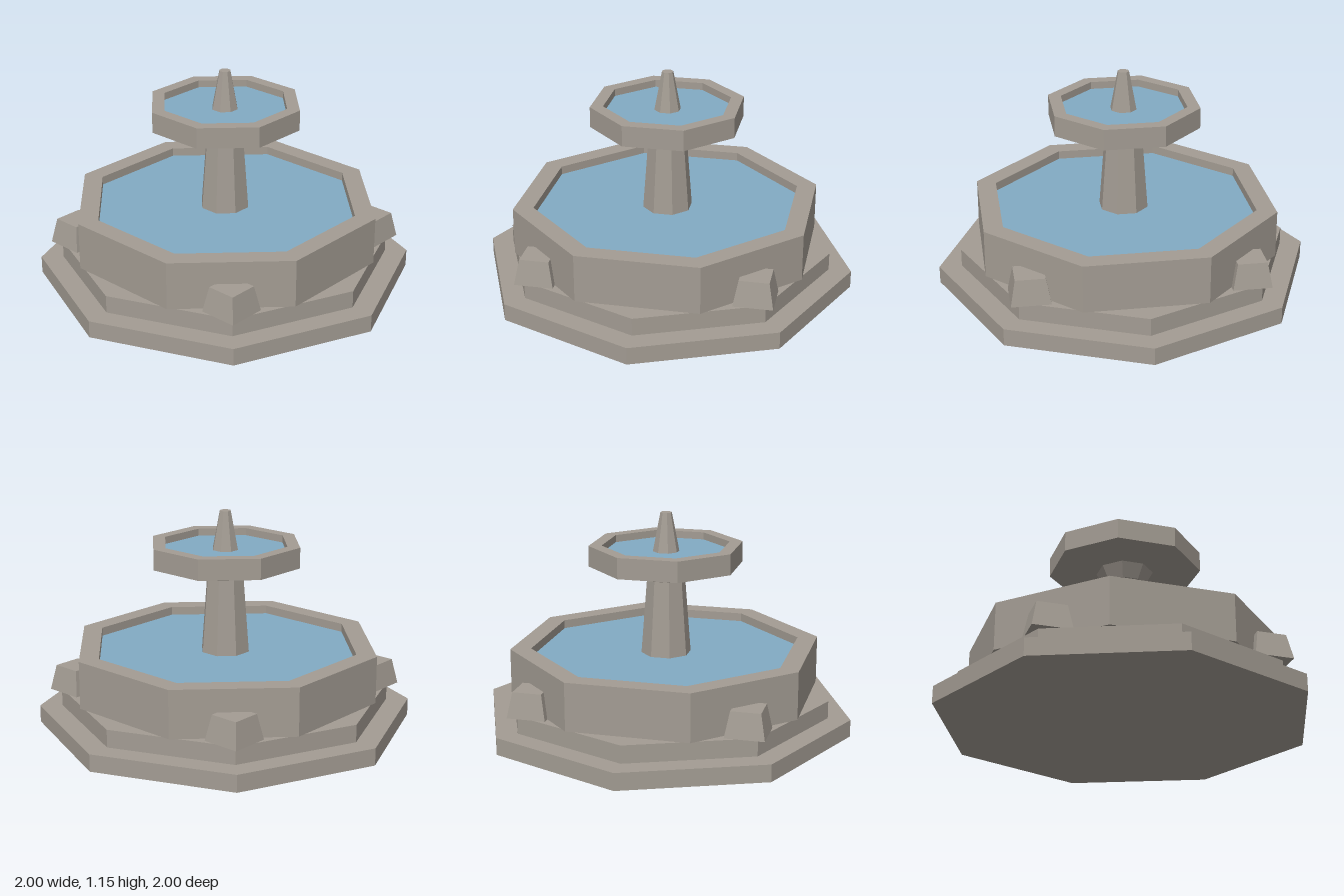
import * as THREE from 'three';

export function createModel() {
  const model = new THREE.Group();
  model.name = 'fountain';

  const stone = new THREE.MeshStandardMaterial({ color: 0xa39c93, flatShading: true });
  stone.name = 'stone';
  const water = new THREE.MeshStandardMaterial({ color: 0x82abc4, flatShading: true });
  water.name = 'water';

  const TURN = Math.PI / 8; // puts flats, not corners, on the axes
  const radius = (flat) => flat / Math.cos(TURN); // corner radius from half width

  // Turned part with eight sides; the profile runs up the outside, then inward
  function octagon(name, profile, turn = TURN, material = stone) {
    const points = profile.map(([r, y]) => new THREE.Vector2(r, y));
    const mesh = new THREE.Mesh(new THREE.LatheGeometry(points, 8), material);
    mesh.name = name;
    mesh.rotation.y = turn;
    model.add(mesh);
    return mesh;
  }

  const solid = (r0, r1, y0, y1) => [[0, y0], [r0, y0], [r1, y1], [0, y1]];
  const bowl = (outer, inner, y0, y1, floor) => [
    [0, y0], [outer, y0], [outer, y1], [inner, y1], [inner, floor], [0, floor],
  ];

  // Steps, corners on the axes
  octagon('lowerStep', solid(1, 1, 0, 0.092), 0);
  octagon('upperStep', solid(0.88, 0.88, 0.092, 0.186), 0);

  // Large basin
  octagon('basin', bowl(radius(0.767), radius(0.666), 0.186, 0.44, 0.38));
  octagon('basinWater', solid(radius(0.666), radius(0.666), 0.386, 0.394), TURN, water);

  // Column and flared capital
  octagon('column', solid(radius(0.124), radius(0.094), 0.38, 0.8));
  octagon('capital', solid(radius(0.102), radius(0.142), 0.8, 0.876));

  // Upper bowl
  octagon('upperBowl', bowl(radius(0.378), radius(0.314), 0.875, 0.985, 0.935));
  octagon('upperWater', solid(radius(0.314), radius(0.314), 0.938, 0.946), TURN, water);

  // Finial
  octagon('finial', solid(radius(0.066), radius(0.028), 0.94, 1.153));

  // Four tapered corner blocks
  for (const sx of [-1, 1]) {
    for (const sz of [-1, 1]) {
      const geometry = new THREE.CylinderGeometry(0.077 * Math.SQRT2, 0.102 * Math.SQRT2, 0.134, 4);
      geometry.rotateY(Math.PI / 4);
      const block = new THREE.Mesh(geometry, stone);
      block.name = 'cornerBlock';
      block.position.set(sx * 0.562, 0.253, sz * 0.562);
      model.add(block);
    }
  }

  return model;
}
